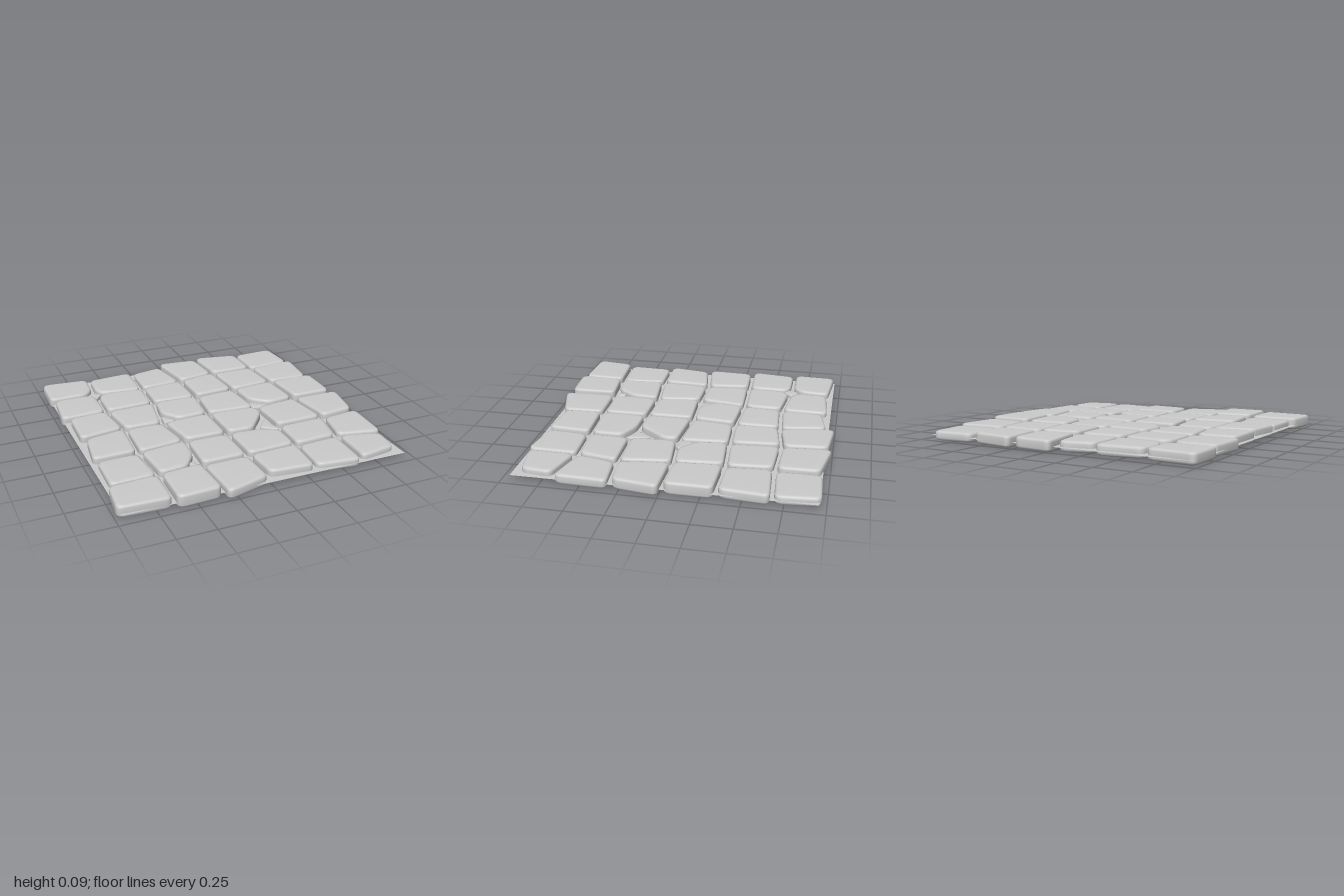
import * as THREE from 'three';

const GAP = 0.012; // half the width of a joint between stones

// Inner joints of the paving: x of the joints on each of 7 lines, z of the joints on each of 5 lines
const JOINT_X = [
  [-0.63, -0.29, -0.04, 0.27, 0.61],
  [-0.65, -0.30, 0.01, 0.29, 0.61],
  [-0.66, -0.31, 0.01, 0.31, 0.63],
  [-0.63, -0.36, -0.02, 0.33, 0.65],
  [-0.65, -0.32, -0.02, 0.34, 0.69],
  [-0.63, -0.34, -0.02, 0.33, 0.64],
  [-0.64, -0.33, -0.01, 0.31, 0.63],
];
const JOINT_Z = [
  [-0.65, -0.65, -0.61, -0.63, -0.67, -0.66, -0.68],
  [-0.32, -0.33, -0.34, -0.32, -0.33, -0.35, -0.34],
  [0.02, -0.02, -0.01, -0.02, 0.01, -0.02, -0.01],
  [0.33, 0.33, 0.30, 0.31, 0.33, 0.33, 0.31],
  [0.66, 0.65, 0.63, 0.63, 0.62, 0.61, 0.68],
];

// Ragged rim: outer coordinate at both ends of each border stone
const NORTH = [[-0.95, -0.92], [-0.91, -0.93], [-0.9, -0.94], [-1, -0.97], [-1, -0.94], [-0.96, -0.97]];
const SOUTH = [[0.93, 0.95], [0.97, 0.96], [1, 0.92], [0.89, 0.92], [0.91, 0.95], [0.93, 0.89]];
const WEST = [[-0.97, -0.98], [-0.95, -0.98], [-0.93, -0.94], [-0.91, -0.95], [-0.93, -0.94], [-0.96, -0.99]];
const EAST = [[0.92, 0.94], [0.96, 0.93], [0.95, 0.945], [0.985, 0.94], [0.96, 0.945], [0.92, 0.9]];

// Stone heights in thousandths, row by row from the back
const HEIGHTS = [
  [75, 70, 70, 75, 75, 62],
  [75, 75, 75, 80, 75, 72],
  [80, 75, 80, 75, 80, 85],
  [80, 75, 80, 80, 75, 77],
  [70, 80, 75, 75, 70, 67],
  [80, 87, 70, 76, 65, 69],
];

// Cut corners, 'row,column,corner': length cut from the edge before and after it
const CHIPS = {
  '0,0,2': [0.06, 0.06], '0,1,3': [0.04, 0.06], '1,0,1': [0.05, 0.04], '1,1,0': [0.05, 0.05],
  '2,2,3': [0.11, 0.13], '2,4,3': [0.11, 0.12], '3,3,2': [0.2, 0.16], '4,3,1': [0.14, 0.06],
  '4,1,2': [0.12, 0.08],
};

// Small filler stones that sit in the cut corners
const PEBBLES = [
  [[-0.715, -0.65], [-0.66, -0.705], [-0.6, -0.65], [-0.66, -0.59]],
  [[-0.335, -0.125], [-0.255, -0.045], [-0.285, -0.03], [-0.345, -0.03]],
  [[0.31, -0.08], [0.345, -0.095], [0.435, -0.015], [0.4, 0.01], [0.3, -0.015]],
  [[0.3, 0.2], [0.34, 0.34], [0.33, 0.37], [0.225, 0.29]],
  [[-0.405, 0.56], [-0.365, 0.56], [-0.355, 0.615], [-0.41, 0.615]],
];

const toVec = ([x, z]) => new THREE.Vector2(x, z);

// Move from a towards b by a distance
const step = (a, b, d) => a.clone().add(b.clone().sub(a).setLength(d));

// Replace every corner with a short curve
function roundOutline(corners, radius) {
  const n = corners.length;
  return corners.flatMap((p, i) => {
    const prev = corners[(i + n - 1) % n], next = corners[(i + 1) % n];
    const from = step(p, prev, Math.min(radius, p.distanceTo(prev) * 0.42));
    const to = step(p, next, Math.min(radius, p.distanceTo(next) * 0.42));
    return new THREE.QuadraticBezierCurve(from, p, to).getPoints(5);
  });
}

// Soft-edged slab: rings following the outline, closed by a fan at both ends
function stoneGeometry(outline, height, bevel) {
  const n = outline.length;
  const centre = outline.reduce((s, p) => s.add(p), new THREE.Vector2()).divideScalar(n);
  const rings = [
    [bevel, 0], [bevel * 0.3, bevel * 0.3], [0, bevel],
    [0, height - bevel], [bevel * 0.3, height - bevel * 0.3], [bevel, height - 0.001],
    [bevel * 2, height],
  ];
  const positions = [], index = [];
  for (const [inset, y] of rings) {
    for (const p of outline) {
      const q = step(p, centre, inset);
      positions.push(q.x, y, q.y);
    }
  }
  const bottom = positions.length / 3, top = bottom + 1;
  positions.push(centre.x, 0, centre.y, centre.x, height + 0.001, centre.y);
  const last = (rings.length - 1) * n;
  for (let k = 0; k < n; k++) {
    const m = (k + 1) % n;
    for (let r = 0; r < last; r += n) {
      index.push(r + k, r + n + k, r + m, r + m, r + n + k, r + n + m);
    }
    index.push(bottom, k, m, top, last + m, last + k);
  }
  const geometry = new THREE.BufferGeometry();
  geometry.setAttribute('position', new THREE.Float32BufferAttribute(positions, 3));
  geometry.setIndex(index);
  geometry.computeVertexNormals();
  return geometry;
}

// Corners of one paving stone, clockwise from back left
function stoneCorners(row, col) {
  const corners = [[0, 0], [1, 0], [1, 1], [0, 1]].map(([i, j]) => {
    const c = col + i, r = row + j;
    const x = c === 0 ? WEST[row][j] : c === 6 ? EAST[row][j] : JOINT_X[r][c - 1] + (i ? -GAP : GAP);
    const z = r === 0 ? NORTH[col][i] : r === 6 ? SOUTH[col][i] : JOINT_Z[r - 1][c] + (j ? -GAP : GAP);
    return new THREE.Vector2(x, z);
  });
  return corners.flatMap((p, k) => {
    const chip = CHIPS[`${row},${col},${k}`];
    if (!chip) return [p];
    return [step(p, corners[(k + 3) % 4], chip[0]), step(p, corners[(k + 1) % 4], chip[1])];
  });
}

export function createModel() {
  const model = new THREE.Group();
  model.name = 'stonePaving';
  const stoneMaterial = new THREE.MeshStandardMaterial({ color: 0xcccccc });
  const add = (geometry, name, material = stoneMaterial) => {
    const mesh = new THREE.Mesh(geometry, material);
    mesh.name = name;
    model.add(mesh);
    return mesh;
  };

  // Paving stones
  for (let row = 0; row < 6; row++) {
    for (let col = 0; col < 6; col++) {
      const outline = roundOutline(stoneCorners(row, col), 0.045);
      add(stoneGeometry(outline, HEIGHTS[row][col] / 1000, 0.018), `pavingStone_${row + 1}_${col + 1}`);
    }
  }

  // Pebbles
  PEBBLES.forEach((corners, i) => {
    add(stoneGeometry(roundOutline(corners.map(toVec), 0.02), 0.058, 0.009), `pebble_${i + 1}`);
  });

  // Thin mortar sheet that fills the joints
  const sheet = new THREE.PlaneGeometry(1.91, 1.905).rotateX(-Math.PI / 2);
  const mortar = add(sheet, 'mortarSheet',
    new THREE.MeshStandardMaterial({ color: 0xcccccc, side: THREE.DoubleSide }));
  mortar.position.set(-0.01, 0.03, -0.005);

  return model;
}
